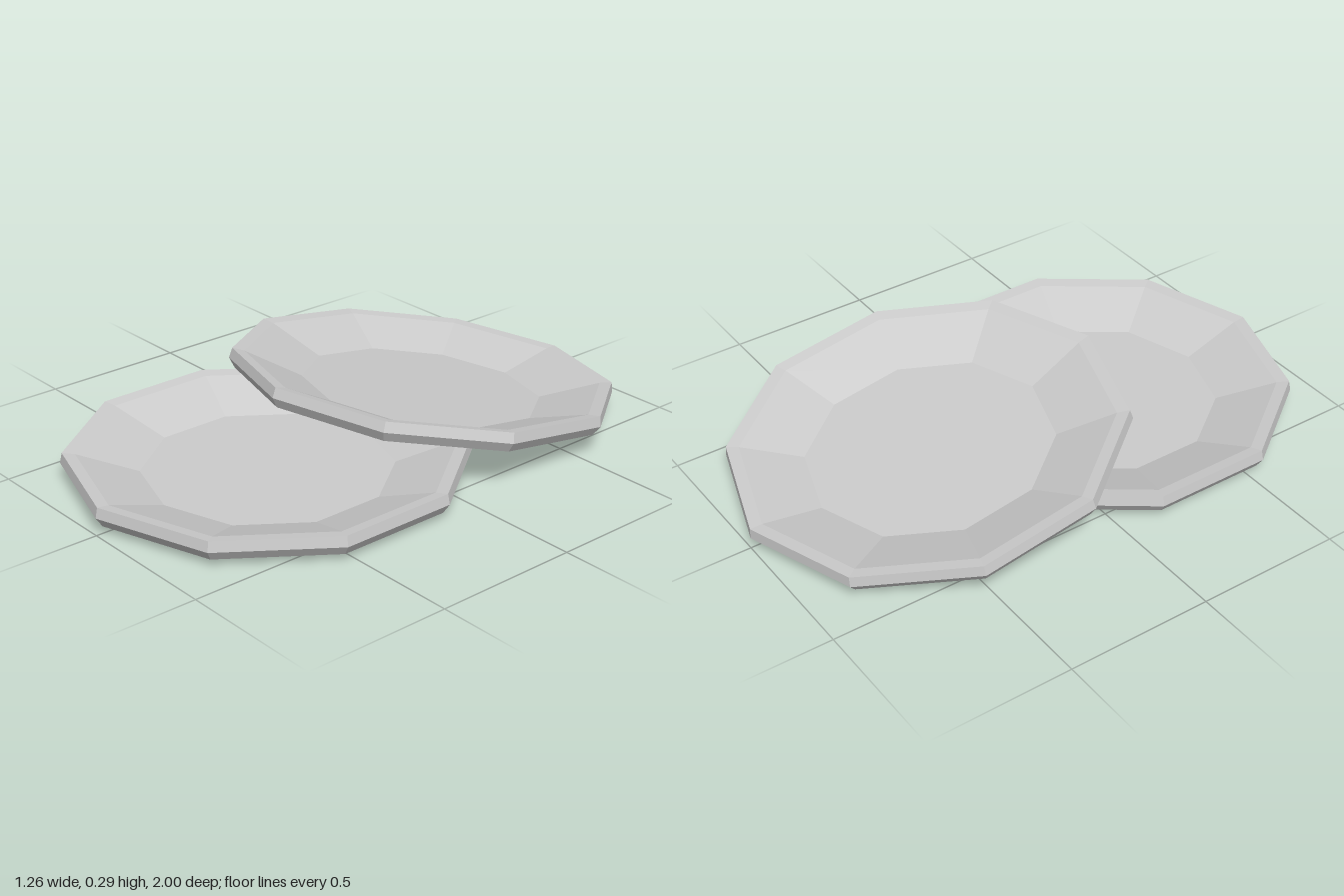
import * as THREE from 'three';

const SIDES = 10;

// Cross-section from the underside centre, round the rim, to the dish centre.
const PROFILE = [
  [0, 0.003],
  [0.526, 0.003], // foot
  [0.605, 0.027],
  [0.641, 0.027], // underside step
  [0.664, 0.061], // widest edge
  [0.657, 0.096], // rim top
  [0.615, 0.09],
  [0.413, 0.021], // dish floor
  [0, 0.021],
].map(([r, y]) => new THREE.Vector2(r, y));

export function createModel() {
  const group = new THREE.Group();
  group.name = 'stackedPlates';

  const material = new THREE.MeshStandardMaterial({ color: 0xcccccc, flatShading: true });
  const geometry = new THREE.LatheGeometry(PROFILE, SIDES);

  function addPlate(name, y, z, tilt) {
    const plate = new THREE.Mesh(geometry, material);
    plate.name = name;
    plate.position.set(0, y, z);
    plate.rotation.x = tilt;
    group.add(plate);
  }

  // One plate lies flat, the other leans on its back rim.
  addPlate('flatPlate', 0, 0.335, 0);
  addPlate('leaningPlate', 0.088, -0.333, -THREE.MathUtils.degToRad(9.3));

  return group;
}
